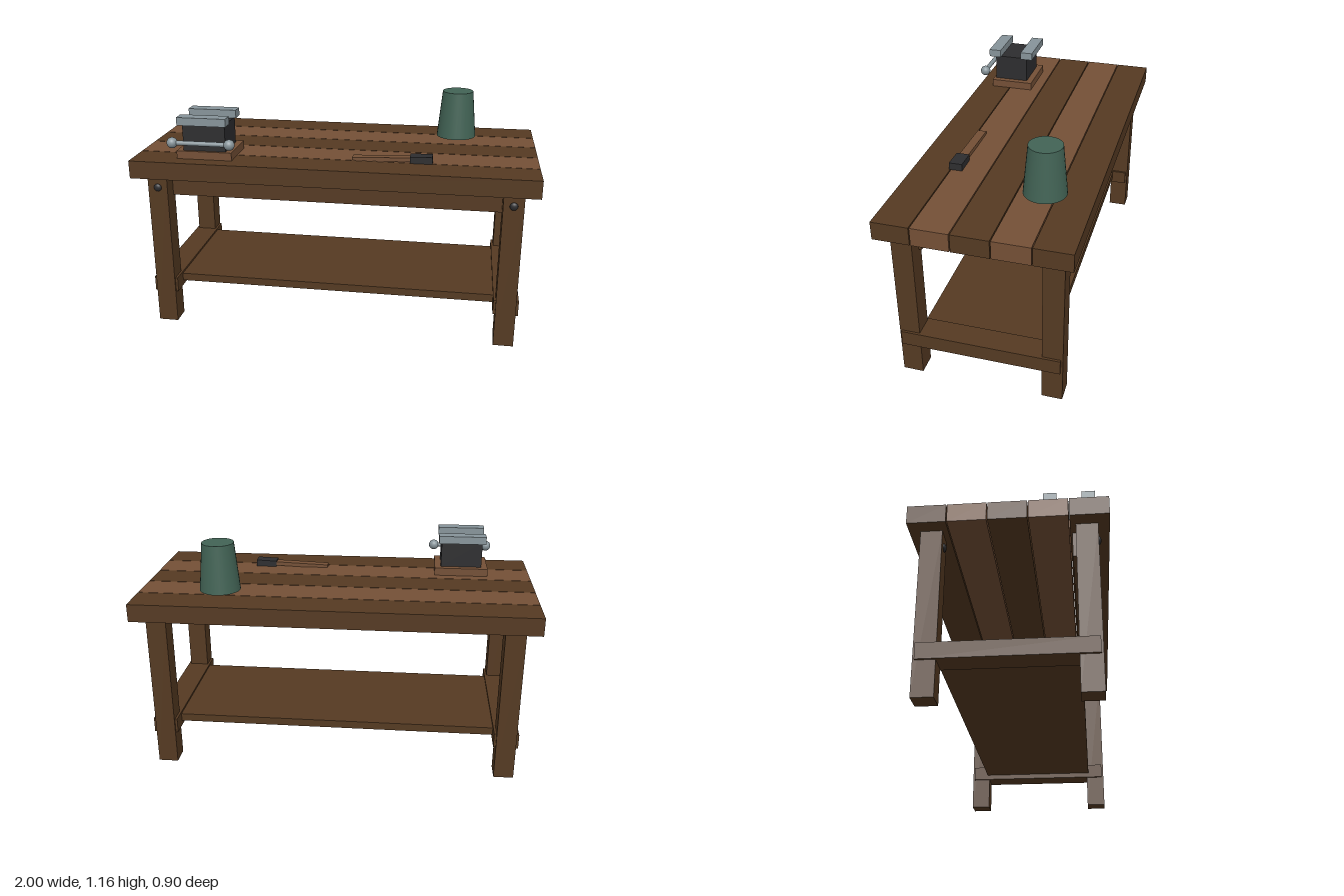
import * as THREE from 'three';

const material = (name, color) => {
  const m = new THREE.MeshStandardMaterial({ color });
  m.name = name;
  return m;
};

export function createModel() {
  const group = new THREE.Group();
  const darkWood = material('darkWood', 0x553a22);
  const lightWood = material('lightWood', 0x745036);
  const iron = material('blackIron', 0x2d2d2f);
  const steel = material('steel', 0x87949a);
  const green = material('greenPaint', 0x426355);

  const add = (name, geometry, mat, x, y, z, parent = group) => {
    const mesh = new THREE.Mesh(geometry, mat);
    mesh.name = name;
    mesh.position.set(x, y, z);
    parent.add(mesh);
    return mesh;
  };
  const box = (name, mat, [w, h, d], [x, y, z], parent) =>
    add(name, new THREE.BoxGeometry(w, h, d), mat, x, y, z, parent);

  // Table top: five planks with narrow gaps
  for (let i = -2; i <= 2; i++) {
    box('topPlank', i % 2 ? lightWood : darkWood, [2, 0.09, 0.177], [0, 0.855, i * 0.1815]);
  }

  // Legs, each with a domed bolt on its front face
  const boltGeometry = new THREE.SphereGeometry(0.02, 16, 10);
  for (const x of [-0.88, 0.88]) {
    for (const z of [-0.35, 0.35]) {
      box('leg', darkWood, [0.1, 0.81, 0.1], [x, 0.405, z]);
      add('bolt', boltGeometry, iron, x, 0.75, z + 0.05).scale.z = 0.6;
    }
    box('sideStretcher', darkWood, [0.124, 0.076, 0.78], [x, 0.207, 0]);
  }

  // Front apron and lower shelf
  box('frontApron', darkWood, [1.72, 0.122, 0.04], [0, 0.749, 0.303]);
  box('shelf', darkWood, [1.7, 0.04, 0.62], [0, 0.215, 0]);

  // Vise
  const vise = new THREE.Group();
  vise.name = 'vise';
  vise.position.set(-0.636, 0, 0);
  group.add(vise);
  box('viseBase', lightWood, [0.28, 0.04, 0.23], [0, 0.92, 0.26], vise);
  box('viseBody', iron, [0.215, 0.136, 0.182], [0, 1.007, 0.27], vise);
  for (const z of [0.177, 0.362]) {
    box('viseJaw', steel, [0.246, 0.04, 0.065], [0, 1.095, z], vise);
  }
  const bar = new THREE.CylinderGeometry(0.012, 0.012, 0.288, 12);
  add('viseHandle', bar, steel, 0, 0.993, 0.415, vise).rotation.z = Math.PI / 2;
  for (const x of [-0.144, 0.144]) {
    add('viseHandleKnob', new THREE.SphereGeometry(0.027, 20, 14), steel, x, 0.993, 0.415, vise);
  }

  // Hand tool lying on the bench, slightly tilted
  box('toolShaft', lightWood, [0.3, 0.02, 0.045], [0.24, 0.91, 0.245]).rotation.z = 0.035;
  box('toolHead', iron, [0.11, 0.036, 0.065], [0.43, 0.915, 0.247]).rotation.z = 0.035;

  // Upturned bucket
  add('bucket', new THREE.CylinderGeometry(0.08, 0.103, 0.243, 32), green, 0.587, 1.037, -0.222);

  return group;
}
